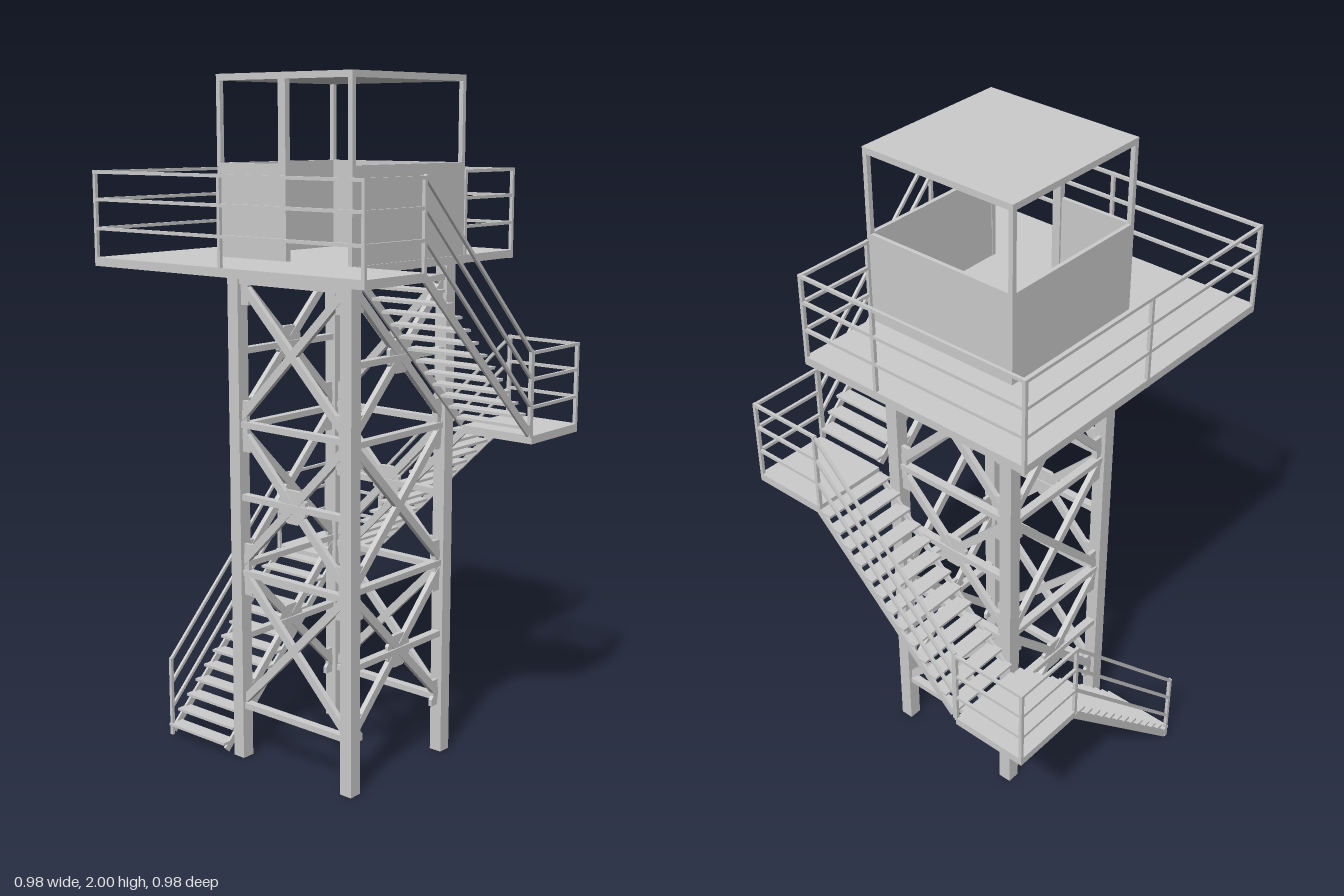
import * as THREE from 'three';

const material = new THREE.MeshStandardMaterial({ color: 0xcccccc, flatShading: true });
const V = (x, y, z) => new THREE.Vector3(x, y, z);

function add(parent, name, geometry) {
  const mesh = new THREE.Mesh(geometry, material);
  mesh.name = name;
  parent.add(mesh);
  return mesh;
}

// Axis-aligned box given by its two opposite corners
function block(parent, name, x0, y0, z0, x1, y1, z1) {
  const mesh = add(parent, name, new THREE.BoxGeometry(x1 - x0, y1 - y0, z1 - z0));
  mesh.position.set((x0 + x1) / 2, (y0 + y1) / 2, (z0 + z1) / 2);
}

// Bar between two points of the parent's own frame
function bar(parent, name, a, b, w, h = w) {
  const mesh = add(parent, name, new THREE.BoxGeometry(w, h, a.distanceTo(b)));
  mesh.position.copy(a).add(b).multiplyScalar(0.5);
  mesh.quaternion.setFromRotationMatrix(new THREE.Matrix4().lookAt(b, a, V(0, 1, 0)));
}

function group(parent, name) {
  const g = new THREE.Group();
  g.name = name;
  parent.add(g);
  return g;
}

// Three rails from a to b (points at floor level) with posts at the given fractions
function railing(parent, name, a, b, posts = [0, 1]) {
  const g = group(parent, name);
  const lift = (p, h) => p.clone().setY(p.y + h);
  [0.08, 0.16, 0.235].forEach((h) => bar(g, 'rail', lift(a, h), lift(b, h), 0.009));
  posts.forEach((t) => {
    const p = a.clone().lerp(b, t);
    block(g, 'railPost', p.x - 0.005, p.y - 0.01, p.z - 0.005, p.x + 0.005, p.y + 0.24, p.z + 0.005);
  });
}

// Flat plate from 2D points, lying in the z = 0.21 face
function plate(parent, name, points) {
  const shape = new THREE.Shape(points.map(([x, y]) => new THREE.Vector2(x, y)));
  const geometry = new THREE.ExtrudeGeometry(shape, { depth: 0.012, bevelEnabled: false });
  add(parent, name, geometry).position.z = 0.204;
}

// One bracing face: crossed diagonals, horizontals, corner and centre gussets
function bracing(parent, angle, { beams, hubs, gussets }) {
  const g = group(parent, 'bracingFace');
  g.rotation.y = angle;
  const z = 0.21;
  [0.378, 0.805, 1.235].forEach((y) => {
    [-1, 1].forEach((s) => bar(g, 'diagonalBrace', V(-0.195, y - s * 0.195, z), V(0.195, y + s * 0.195, z), 0.016, 0.024));
  });
  beams.forEach((y) => bar(g, 'horizontalBrace', V(-0.195, y, z), V(0.195, y, z), 0.025, 0.018));
  hubs.forEach((y) => {
    const points = [];
    for (let i = 0; i < 8; i++) {
      const t = (i + 0.5) * Math.PI / 4;
      points.push([0.053 * Math.cos(t), y + 0.053 * Math.sin(t)]);
    }
    plate(g, 'centreGusset', points);
  });
  gussets.forEach(([low, high]) => [-1, 1].forEach((s) => {
    const points = [[s * 0.2, low], [s * 0.162, low], [s * 0.162, low + 0.02], [s * 0.172, low + 0.03],
      [s * 0.172, high - 0.03], [s * 0.162, high - 0.02], [s * 0.162, high], [s * 0.2, high]];
    plate(g, 'legGusset', points);
  }));
}

// Stair flight rising toward -z along the -x side, optionally with a corner landing
function flight(parent, index, landing) {
  const g = group(parent, 'stairFlight');
  g.rotation.y = -index * Math.PI / 2;
  g.position.y = index * 0.5;
  const steps = 13, run = 0.5 / steps, rise = 0.49 / steps;
  for (let i = 1; i <= steps; i++) {
    const z = 0.25 - (i - 0.5) * run, y = i * rise;
    block(g, 'tread', -0.49, y - 0.008, z - 0.024, -0.25, y, z + 0.024);
  }
  [-0.486, -0.254].forEach((x) => bar(g, 'stringer', V(x, 0.012, 0.24), V(x, 0.487, -0.25), 0.008, 0.022));
  railing(g, 'stairRailing', V(-0.485, 0.01, 0.245), V(-0.485, 0.505, -0.25), [0]);
  if (!landing) return;
  const l = group(g, 'landing');
  block(l, 'landingDeck', -0.49, 0.492, -0.49, -0.25, 0.504, -0.25);
  [-0.485, -0.255].forEach((c) => {
    block(l, 'landingJoist', c - 0.005, 0.48, -0.49, c + 0.005, 0.492, -0.25);
    block(l, 'landingBeam', -0.48, 0.48, c - 0.005, -0.26, 0.492, c + 0.005);
  });
  railing(l, 'landingSideRailing', V(-0.485, 0.505, -0.25), V(-0.485, 0.505, -0.485));
  railing(l, 'landingEndRailing', V(-0.485, 0.505, -0.485), V(-0.25, 0.505, -0.485));
}

export function createModel() {
  const model = new THREE.Group();
  model.name = 'watchtower';

  // Hollow square legs
  const tower = group(model, 'tower');
  const square = (r) => [[-r, -r], [r, -r], [r, r], [-r, r]].map(([x, y]) => new THREE.Vector2(x, y));
  const section = new THREE.Shape(square(0.02));
  section.holes.push(new THREE.Path(square(0.015)));
  const legGeometry = new THREE.ExtrudeGeometry(section, { depth: 1.48, bevelEnabled: false });
  legGeometry.rotateX(-Math.PI / 2);
  for (const x of [-0.21, 0.21]) for (const z of [-0.21, 0.21]) add(tower, 'leg', legGeometry).position.set(x, 0, z);

  // Bracing alternates between the front/back and side faces
  const joints = [[0.51, 0.665], [0.94, 1.09]];
  const front = { beams: [0.165, 0.577, 0.805, 1.02, 1.433], hubs: [0.805], gussets: [...joints, [1.365, 1.44]] };
  const side = { beams: [0.375, 0.595, 1.01, 1.23, 1.44], hubs: [0.375, 1.235], gussets: [[0.15, 0.23], ...joints, [1.37, 1.45]] };
  for (let i = 0; i < 4; i++) bracing(tower, i * Math.PI / 2, i % 2 ? side : front);

  // Three flights wind up the outside
  for (let i = 0; i < 3; i++) flight(model, i, i < 2);

  // Deck, open above the top flight
  const platform = group(model, 'platform');
  block(platform, 'mainDeck', -0.49, 1.488, -0.49, 0.25, 1.5, 0.49);
  block(platform, 'stairheadDeck', 0.25, 1.488, 0.245, 0.49, 1.5, 0.49);
  [-0.484, -0.245, 0, 0.244].forEach((c) => block(platform, 'joist', c - 0.006, 1.477, -0.49, c + 0.006, 1.488, 0.49));
  [-0.484, -0.245, 0].forEach((c) => block(platform, 'beam', -0.49, 1.476, c - 0.006, 0.25, 1.488, c + 0.006));
  [0.256, 0.484].forEach((c) => block(platform, 'beam', -0.49, 1.476, c - 0.006, 0.49, 1.488, c + 0.006));
  block(platform, 'joist', 0.478, 1.476, 0.25, 0.49, 1.488, 0.49);

  // Guard rails
  const e = 0.485, y = 1.5;
  railing(platform, 'frontRailing', V(-e, y, e), V(e, y, e), [0, 0.5, 1]);
  railing(platform, 'rightRailing', V(-e, y, -e), V(-e, y, e), [0, 0.5]);
  railing(platform, 'backRailing', V(-e, y, -e), V(0.245, y, -e), [0.66, 1]);
  railing(platform, 'stairwellRailing', V(0.245, y, -e), V(0.245, y, -0.25), [1]);
  railing(platform, 'stairheadRailing', V(e, y, 0.25), V(e, y, e), [0]);

  // Cabin: low walls, doorway in the front, corner posts and flat roof
  const cabin = group(model, 'cabin');
  const c = 0.246;
  block(cabin, 'backWall', -c, 1.5, -c, c, 1.76, -c + 0.012);
  [-1, 1].forEach((s) => block(cabin, 'sideWall', s * 0.24 - 0.006, 1.5, -c, s * 0.24 + 0.006, 1.76, c));
  block(cabin, 'frontWall', -c, 1.5, c - 0.012, 0, 1.76, c);
  for (const x of [-1, 1]) for (const z of [-1, 1]) {
    block(cabin, 'cornerPost', x * 0.239 - 0.007, 1.5, z * 0.239 - 0.007, x * 0.239 + 0.007, 1.985, z * 0.239 + 0.007);
  }
  block(cabin, 'doorPost', -0.014, 1.5, c - 0.018, 0.012, 1.985, c);
  block(cabin, 'roof', -c, 1.982, -c, c, 2, c);
  return model;
}
